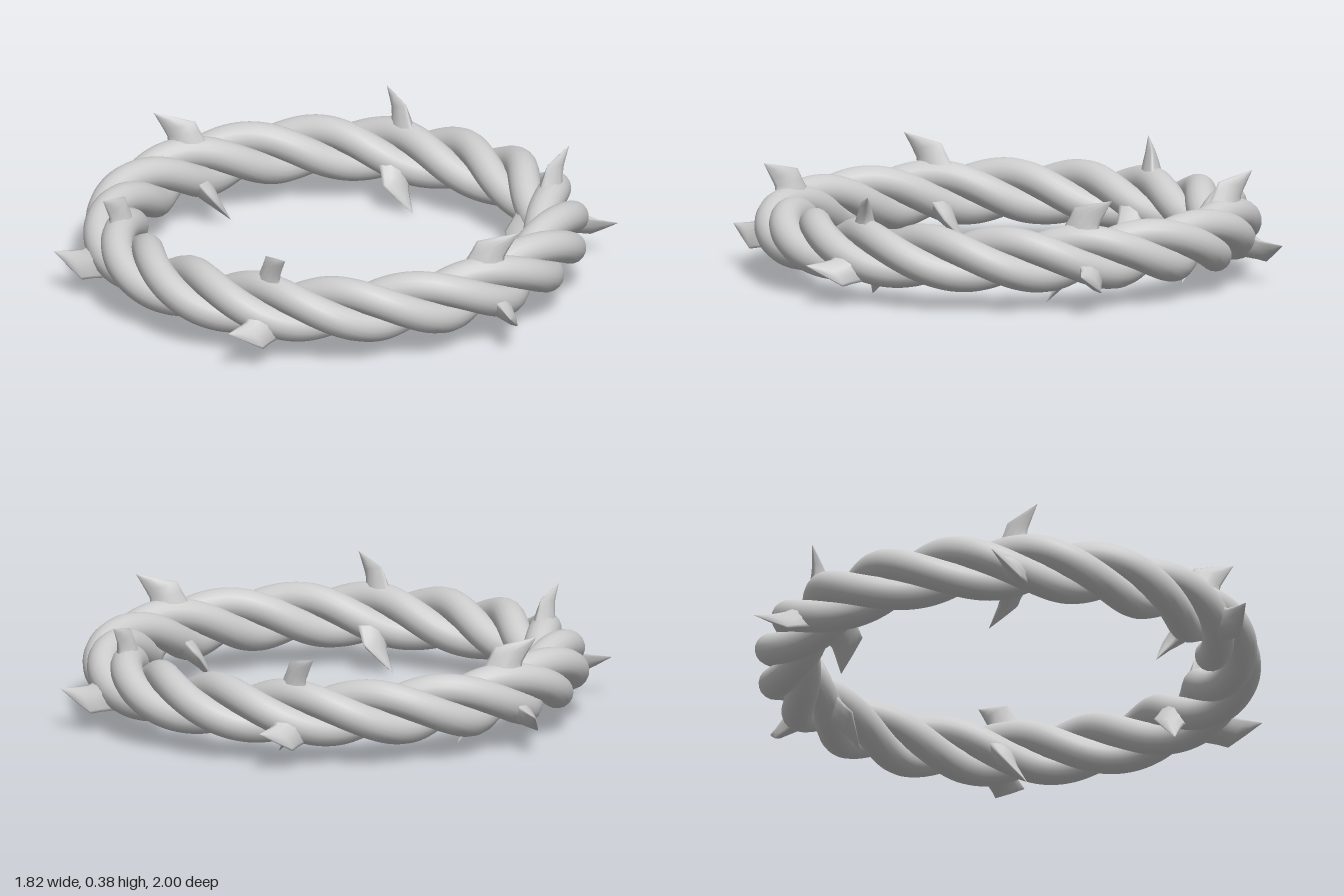
import * as THREE from 'three';

const RING = 0.778, HEIGHT = 0.177;    // ring radius and height of its centre line
const OFFSET = 0.061, STRAND = 0.057;  // strand distance from the centre line, strand radius
const TURNS = 6, STRANDS = 3, GROUPS = 6;

// One vine winding around the ring; phase is its angle in the cross-section at the front
class VineCurve extends THREE.Curve {
  constructor(phase) {
    super();
    this.phase = phase;
  }
  getPoint(t, target = new THREE.Vector3()) {
    const theta = t * Math.PI * 2, phi = this.phase - TURNS * theta;
    const r = RING + OFFSET * Math.cos(phi);
    return target.set(r * Math.sin(theta), HEIGHT + OFFSET * Math.sin(phi), r * Math.cos(theta));
  }
}

// Hooked flat thorn: sharp-edged lens sections from root to tip, each [back x, back y, front x, front y, half thickness]
function thornGeometry() {
  const sections = [
    [-0.1, 0.06, 0.085, 0.055, 0.048],
    [-0.068, 0.108, 0.066, 0.098, 0.036],
    [-0.046, 0.145, 0.068, 0.122, 0.028],
    [-0.03, 0.178, 0.082, 0.148, 0.019],
    [0.04, 0.194, 0.099, 0.178, 0.01],
    [0.117, 0.209, 0.117, 0.209, 0],
  ];
  const N = 12, pos = [], index = [];
  sections.forEach(([bx, by, fx, fy, thick], i) => {
    for (let j = 0; j < N; j++) {
      const a = (j / N) * Math.PI * 2, k = (1 + Math.cos(a)) / 2;
      pos.push(bx + (fx - bx) * k, by + (fy - by) * k, thick * Math.sin(a) * Math.abs(Math.sin(a)));
      if (i === sections.length - 1) continue;
      const p = i * N + j, q = i * N + (j + 1) % N;
      index.push(p, p + N, q);
      if (i < sections.length - 2) index.push(q, p + N, q + N);
    }
  });
  const geo = new THREE.BufferGeometry();
  geo.setAttribute('position', new THREE.Float32BufferAttribute(pos, 3));
  geo.setIndex(index);
  geo.computeVertexNormals();
  return geo;
}

export function createModel() {
  const model = new THREE.Group();
  model.name = 'thornWreath';
  const mat = new THREE.MeshStandardMaterial({ color: 0xcccccc });
  const thornGeo = thornGeometry();
  const up = new THREE.Vector3(0, 1, 0);
  const phases = [90, -30, -150].map(THREE.MathUtils.degToRad);

  // Twisted vines
  for (let i = 0; i < STRANDS; i++) {
    const vine = new THREE.Mesh(new THREE.TubeGeometry(new VineCurve(phases[i]), 300, STRAND, 18, true), mat);
    vine.name = `vine${i + 1}`;
    model.add(vine);
  }

  // Clusters of three thorns, one on each vine, hooked along the twist
  for (let g = 0; g < GROUPS; g++) {
    const theta = (g / GROUPS) * Math.PI * 2;
    const radial = new THREE.Vector3(Math.sin(theta), 0, Math.cos(theta));
    const tangent = new THREE.Vector3(Math.cos(theta), 0, -Math.sin(theta));
    const cluster = new THREE.Group();
    cluster.name = `thornCluster${g + 1}`;
    phases.forEach((phi, i) => {
      const normal = radial.clone().multiplyScalar(Math.cos(phi)).addScaledVector(up, Math.sin(phi));
      const around = radial.clone().multiplyScalar(Math.sin(phi)).addScaledVector(up, -Math.cos(phi));
      // The upper thorn hooks the opposite way from the other two
      const hook = around.multiplyScalar(0.7).addScaledVector(tangent, 0.71)
        .normalize().multiplyScalar(i === 0 ? 1 : -1);
      const thorn = new THREE.Mesh(thornGeo, mat);
      thorn.name = ['upperThorn', 'outerThorn', 'innerThorn'][i];
      thorn.quaternion.setFromRotationMatrix(
        new THREE.Matrix4().makeBasis(hook, normal, hook.clone().cross(normal)));
      thorn.position.copy(radial).multiplyScalar(RING).addScaledVector(up, HEIGHT);
      cluster.add(thorn);
    });
    model.add(cluster);
  }
  return model;
}
